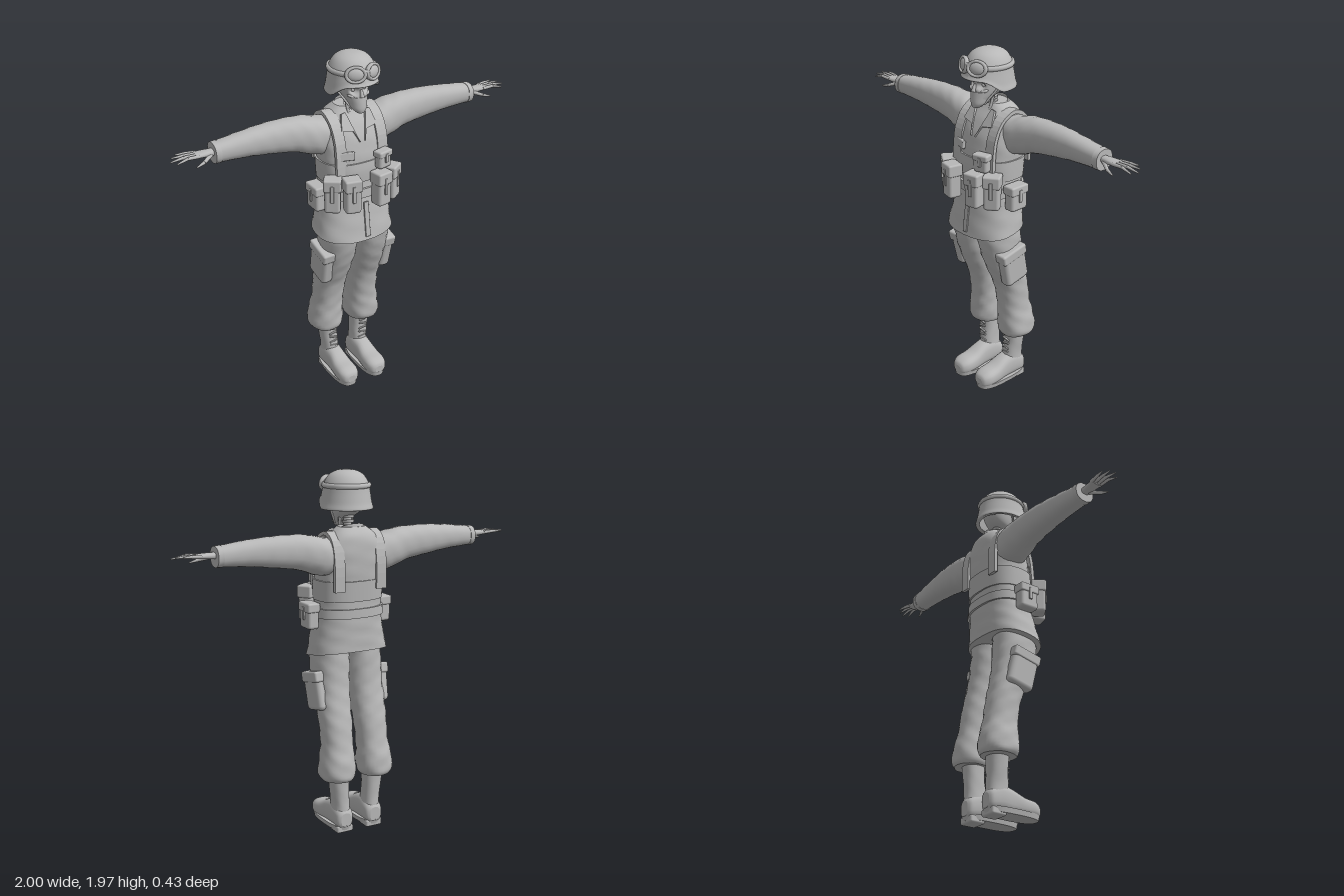
import * as THREE from 'three';
import { mergeGeometries, mergeVertices } from 'three/addons/utils/BufferGeometryUtils.js';
import { RoundedBoxGeometry } from 'three/addons/geometries/RoundedBoxGeometry.js';

const grey = new THREE.MeshStandardMaterial({ color: 0xb8b8b8, side: THREE.DoubleSide });
grey.name = 'plain grey';

// Smooth skin through sections [t, a, b, ra, rb] along an axis, with optional wrinkles
function loft(rows, axis = 'y', { n = 24, e = 2.3, wrinkle = 0, sub = 4 } = {}) {
  const S = [];
  for (let i = 0; i < rows.length - 1; i++) {
    const p = [rows[Math.max(i - 1, 0)], rows[i], rows[i + 1], rows[Math.min(i + 2, rows.length - 1)]];
    for (let k = 0; k < sub; k++) {
      const u = k / sub;
      S.push(p[1].map((v, c) => v + 0.5 * u * (p[2][c] - p[0][c]
        + u * (2 * p[0][c] - 5 * v + 4 * p[2][c] - p[3][c] + u * (3 * (v - p[2][c]) + p[3][c] - p[0][c])))));
    }
  }
  S.push(rows[rows.length - 1]);
  const pos = [], idx = [], pow = (v) => Math.sign(v) * Math.abs(v) ** (2 / e);
  const place = (t, a, b) => pos.push(...(axis === 'y' ? [a, t, b] : axis === 'x' ? [t, a, b] : [a, b, t]));
  const flip = axis === 'y' ? -1 : 1;
  const ring = ([t, a, b, ra, rb]) => {
    for (let j = 0; j < n; j++) {
      const th = (j / n) * Math.PI * 2;
      const w = 1 + wrinkle * (Math.sin(3 * th + t * 37) * Math.sin(t * 31 + th) + 0.5 * Math.sin(5 * th - t * 60));
      place(t, a + ra * w * pow(Math.cos(th)), b + flip * rb * w * pow(Math.sin(th)));
    }
  };
  S.forEach(ring);
  for (let i = 0; i < S.length - 1; i++) for (let j = 0; j < n; j++) {
    const p = i * n + j, q = i * n + (j + 1) % n;
    idx.push(p, q, p + n, q, q + n, p + n);
  }
  for (const [s, top] of [[S[0], false], [S[S.length - 1], true]]) {
    const base = pos.length / 3;
    ring(s);
    place(s[0], s[1], s[2]);
    for (let j = 0; j < n; j++) {
      const p = base + j, q = base + (j + 1) % n;
      idx.push(base + n, top ? p : q, top ? q : p);
    }
  }
  const g = new THREE.BufferGeometry();
  g.setAttribute('position', new THREE.Float32BufferAttribute(pos, 3));
  g.setIndex(idx);
  g.computeVertexNormals();
  return g;
}

// Open surface from a rule
function sheet(fn, nu, nv) {
  const g = new THREE.PlaneGeometry(1, 1, nu, nv), P = g.attributes.position;
  for (let i = 0; i < P.count; i++) P.setXYZ(i, ...fn(P.getX(i) + 0.5, P.getY(i) + 0.5));
  g.computeVertexNormals();
  return g;
}

const put = (g, x, y, z, rx = 0, ry = 0, rz = 0) =>
  g.applyMatrix4(new THREE.Matrix4().makeRotationFromEuler(new THREE.Euler(rx, ry, rz, 'YXZ')).setPosition(x, y, z));
const block = (w, h, d, r = 0.012) => new RoundedBoxGeometry(w, h, d, 2, r);
const ball = (x, y, z) => new THREE.SphereGeometry(1, 16, 12).scale(x, y, z);

// Tapered rod between two points, without uv so that it merges with lofts
function rod(a, b, r1, r2) {
  const A = new THREE.Vector3(...a), d = new THREE.Vector3(...b).sub(A), len = d.length();
  const g = new THREE.CylinderGeometry(r2, r1, len, 10).translate(0, len / 2, 0).deleteAttribute('uv');
  g.applyQuaternion(new THREE.Quaternion().setFromUnitVectors(new THREE.Vector3(0, 1, 0), d.normalize()));
  return g.translate(...a);
}

function mirrored(g) {
  const m = g.index ? g.clone() : mergeVertices(g);
  m.scale(-1, 1, 1);
  const I = m.index.array;
  for (let i = 0; i < I.length; i += 3) [I[i], I[i + 1]] = [I[i + 1], I[i]];
  return m;
}

// Pouch with a closing flap, standing upright
function pouch(w, h, d) {
  return mergeGeometries([
    block(w, h, d, 0.016),
    block(w + 0.01, h * 0.36, d + 0.01, 0.01).translate(0, h * 0.33, 0),
    block(0.02, h * 0.5, 0.01, 0.004).translate(0, h * 0.1, d / 2 + 0.003),
  ]);
}

export function createModel() {
  const model = new THREE.Group();
  model.name = 'soldier';
  const add = (name, g) => {
    const m = new THREE.Mesh(g, grey);
    m.name = name;
    model.add(m);
  };
  const pair = (name, g) => { add('left ' + name, g); add('right ' + name, mirrored(g)); };

  // Jacket, its hem dipping at the front
  const jacket = loft([[0.99, -0.01, 0.012, 0.222, 0.16], [1.08, -0.005, 0.003, 0.205, 0.15], [1.18, 0, -0.008, 0.188, 0.14],
    [1.28, 0, -0.015, 0.18, 0.134], [1.4, 0, -0.02, 0.182, 0.138], [1.5, 0, -0.03, 0.185, 0.132],
    [1.58, 0, -0.045, 0.17, 0.115], [1.64, 0, -0.06, 0.125, 0.088], [1.68, 0, -0.055, 0.075, 0.06]], 'y', { n: 40, e: 2.5, wrinkle: 0.012 });
  const J = jacket.attributes.position;
  for (let i = 0; i < J.count; i++) J.setY(i, J.getY(i) - J.getZ(i) * 0.17 * Math.max(0, 1 - (J.getY(i) - 0.99) / 0.2));
  jacket.computeVertexNormals();
  add('jacket', jacket);
  add('jacket placket', put(block(0.03, 0.2, 0.01, 0.004), 0, 1.08, 0.157, -0.13));

  // Vest band, belt and shoulder straps
  add('vest band', loft([[1.29, 0, -0.015, 0.187, 0.142], [1.35, 0, -0.016, 0.189, 0.146], [1.4, 0, -0.02, 0.19, 0.146]], 'y', { n: 40, e: 2.5 }));
  add('belt', loft([[1.2, 0, -0.01, 0.196, 0.148], [1.25, 0, -0.012, 0.193, 0.146]], 'y', { n: 40, e: 2.5 }));
  const arc = new THREE.SplineCurve([[0.115, 1.33], [0.108, 1.45], [0.09, 1.54], [0.04, 1.62], [-0.05, 1.66], [-0.13, 1.615],
    [-0.162, 1.5], [-0.163, 1.35]].map((p) => new THREE.Vector2(...p))).getPoints(24);
  const inner = arc.map((p) => new THREE.Vector2(-0.025 + (p.x + 0.025) * 0.85, 1.4 + (p.y - 1.4) * 0.92)).reverse();
  pair('shoulder strap', new THREE.ExtrudeGeometry(new THREE.Shape([...arc, ...inner]), { depth: 0.06, bevelEnabled: false })
    .rotateY(-Math.PI / 2).translate(0.155, 0, 0));

  // Collar, higher behind the neck, and lapels
  add('collar', sheet((u, v) => {
    const a = (u - 0.5) * 4.9, r = 0.088 - 0.018 * v;
    return [Math.sin(a) * r, 1.615 + v * (0.058 + 0.025 * Math.cos(a)), -0.05 - Math.cos(a) * r * 0.85];
  }, 28, 3));
  const lapel = new THREE.Shape([[0.015, 1.5], [0.04, 1.56], [0.105, 1.575], [0.085, 1.66], [0.06, 1.665]].map((p) => new THREE.Vector2(...p)));
  pair('lapel', new THREE.ExtrudeGeometry(lapel, { depth: 0.014, bevelEnabled: false })
    .translate(0, -1.5, 0).rotateX(-0.5).translate(0, 1.51, 0.1));

  // Pouches on belt and chest
  [[-0.1, 0.17, -0.22], [-0.185, 0.115, -0.6], [0.078, 0.17, 0.18], [0.168, 0.125, 0.6]].forEach(([x, z, r], i) =>
    add('magazine pouch ' + (i + 1), put(pouch(0.085, 0.19, 0.075), x, 1.255, z, 0, r)));
  pair('hip pouch', put(pouch(0.11, 0.14, 0.065), 0.22, 1.21, 0.005, 0, Math.PI / 2));
  add('chest pouch', put(pouch(0.085, 0.1, 0.05), 0.105, 1.405, 0.14, 0, 0.25));
  add('chest pocket flap', put(block(0.095, 0.045, 0.02, 0.006), -0.1, 1.45, 0.107, -0.1, -0.3));

  // Sleeves and cuffs
  pair('sleeve', loft([[0.08, 1.53, -0.05, 0.09, 0.085], [0.17, 1.53, -0.055, 0.1, 0.096], [0.24, 1.545, -0.056, 0.102, 0.09],
    [0.33, 1.566, -0.056, 0.092, 0.078], [0.46, 1.576, -0.056, 0.082, 0.07], [0.6, 1.58, -0.05, 0.068, 0.062],
    [0.77, 1.575, -0.045, 0.052, 0.055]], 'x', { wrinkle: 0.02 }));
  pair('cuff', loft([[0.745, 1.576, -0.045, 0.056, 0.059], [0.775, 1.575, -0.045, 0.054, 0.057]], 'x', { sub: 1 }));

  // Thin hands with jointed fingers
  const hand = [loft([[0.75, 1.58, -0.042, 0.018, 0.022], [0.81, 1.583, -0.042, 0.016, 0.03], [0.87, 1.585, -0.042, 0.011, 0.037]], 'x', { n: 14 })];
  [[-0.07, -0.085, 0.955, 1.59], [-0.052, -0.06, 0.985, 1.588], [-0.033, -0.033, 1, 1.58], [-0.014, -0.006, 0.975, 1.575]].forEach(([z0, z1, tip, y]) => {
    const mid = [(0.86 + tip) / 2, 1.59, (z0 + z1) / 2];
    hand.push(rod([0.855, 1.586, z0], mid, 0.01, 0.0085), rod(mid, [tip, y, z1], 0.0085, 0.004));
  });
  hand.push(rod([0.79, 1.575, -0.025], [0.84, 1.558, 0.006], 0.012, 0.009), rod([0.84, 1.558, 0.006], [0.885, 1.546, 0.018], 0.009, 0.004));
  pair('hand', mergeGeometries(hand));

  // Baggy trousers gathered above the boots
  pair('trouser leg', loft([[0.31, 0.117, -0.108, 0.085, 0.092], [0.34, 0.118, -0.108, 0.098, 0.104], [0.42, 0.115, -0.104, 0.094, 0.1],
    [0.5, 0.11, -0.092, 0.086, 0.09], [0.62, 0.107, -0.072, 0.09, 0.09], [0.72, 0.105, -0.04, 0.094, 0.1],
    [0.83, 0.1, -0.008, 0.097, 0.112], [0.96, 0.097, 0.012, 0.1, 0.125], [1.06, 0.095, 0.01, 0.09, 0.12]], 'y', { n: 28, wrinkle: 0.03 }));
  pair('cargo pocket', put(mergeGeometries([block(0.07, 0.2, 0.16, 0.025), block(0.078, 0.06, 0.17, 0.012).translate(0, 0.085, 0)]),
    0.187, 0.785, -0.01, 0.22, 0, -0.04));

  // Boots
  const cx = 0.092;
  pair('boot shaft', loft([[0.08, cx, -0.1, 0.052, 0.066], [0.16, cx + 0.003, -0.1, 0.047, 0.06], [0.25, cx + 0.01, -0.105, 0.052, 0.056],
    [0.35, cx + 0.016, -0.106, 0.058, 0.06]], 'y', { wrinkle: 0.012 }));
  pair('boot foot', loft([[-0.168, cx, 0.075, 0.03, 0.04], [-0.15, cx, 0.08, 0.05, 0.057], [-0.09, cx, 0.095, 0.055, 0.072], [-0.02, cx, 0.088, 0.053, 0.068],
    [0.05, cx, 0.073, 0.06, 0.053], [0.11, cx, 0.069, 0.061, 0.047], [0.145, cx, 0.064, 0.045, 0.036], [0.156, cx, 0.06, 0.025, 0.02]], 'z', { e: 2.6 }));
  pair('boot sole', loft([[0.014, cx, -0.004, 0.06, 0.157], [0.042, cx, -0.006, 0.066, 0.163]], 'y', { e: 2.8, sub: 1, n: 32 }));
  pair('boot heel', block(0.1, 0.04, 0.09, 0.01).translate(cx, 0.02, -0.115));
  const laces = [];
  for (let i = 0; i < 6; i++) laces.push(put(block(0.05, 0.008, 0.012, 0.003), cx + i * 0.002, 0.15 + i * 0.028, -0.045, 0, 0, i % 2 ? 0.2 : -0.2));
  pair('boot laces', mergeGeometries(laces));

  // Bony neck
  const neck = [rod([0, 1.54, -0.03], [0, 1.76, -0.015], 0.022, 0.022)];
  for (let i = 0; i < 7; i++) neck.push(rod([0, 1.562 + i * 0.026, -0.026], [0, 1.578 + i * 0.026, -0.024], 0.03, 0.034));
  add('neck', mergeGeometries(neck));
  pair('neck cord', rod([0.02, 1.56, 0.035], [0.04, 1.74, -0.005], 0.008, 0.008));

  // Gaunt head with sunken eyes and a mask over the jaw
  const head = loft([[1.668, 0, 0.08, 0.018, 0.02], [1.69, 0, 0.062, 0.036, 0.04], [1.72, 0, 0.038, 0.052, 0.064], [1.75, 0, 0.01, 0.066, 0.088],
    [1.79, 0, -0.004, 0.075, 0.102], [1.84, 0, -0.008, 0.08, 0.108], [1.9, 0, -0.01, 0.07, 0.09]], 'y', { n: 40, sub: 6 });
  const H = head.attributes.position;
  for (let i = 0; i < H.count; i++) {
    const d = Math.hypot(Math.abs(H.getX(i)) - 0.032, H.getY(i) - 1.79) / 0.025;
    if (H.getZ(i) > 0.03 && d < 1) H.setZ(i, H.getZ(i) - 0.028 * (1 - d * d));
  }
  head.computeVertexNormals();
  add('head', head);
  pair('eye', ball(0.011, 0.011, 0.011).translate(0.032, 1.79, 0.06));
  pair('cheekbone', put(ball(0.022, 0.009, 0.014), 0.046, 1.762, 0.07, 0, 0.7, 0.25));
  add('nose', rod([0, 1.795, 0.092], [0, 1.755, 0.103], 0.007, 0.013));
  add('jaw mask', loft([[1.67, 0, 0.082, 0.02, 0.022], [1.69, 0, 0.066, 0.04, 0.043], [1.72, 0, 0.05, 0.05, 0.058], [1.755, 0, 0.046, 0.058, 0.058]], 'y', { e: 2 }));

  // Helmet with a flared rim, raised over the face
  const helmet = new THREE.LatheGeometry(new THREE.SplineCurve([[0.118, 1.772], [0.141, 1.768], [0.134, 1.8], [0.126, 1.85], [0.117, 1.9],
    [0.088, 1.945], [0.045, 1.967], [0, 1.971]].map((p) => new THREE.Vector2(...p))).getPoints(28), 40);
  const P = helmet.attributes.position;
  for (let i = 0; i < P.count; i++) {
    const y = P.getY(i), r = Math.hypot(P.getX(i), P.getZ(i)) || 1;
    const f = THREE.MathUtils.smoothstep(P.getZ(i) / r, 0.1, 0.85);
    if (y < 1.89) P.setY(i, 1.89 + (y - 1.89) * (1 - 0.48 * f));
    P.setZ(i, P.getZ(i) * 1.06 - 0.004);
  }
  helmet.computeVertexNormals();
  add('helmet', helmet);
  pair('chin strap', rod([0.105, 1.8, 0.0], [0.035, 1.685, 0.06], 0.006, 0.006));

  // Goggles pushed up on the helmet
  pair('goggle lens', put(ball(0.046, 0.034, 0.018), 0.05, 1.893, 0.119, -0.2, 0.42));
  pair('goggle frame', put(new THREE.TorusGeometry(0.042, 0.009, 8, 24).scale(1.15, 0.9, 1.5), 0.05, 1.893, 0.122, -0.2, 0.42));
  add('goggle bridge', block(0.035, 0.022, 0.03, 0.008).translate(0, 1.905, 0.135));
  add('goggle strap', new THREE.TorusGeometry(0.119, 0.012, 8, 40).rotateX(Math.PI / 2).scale(1, 1.2, 1.06).translate(0, 1.89, -0.004));

  return model;
}
